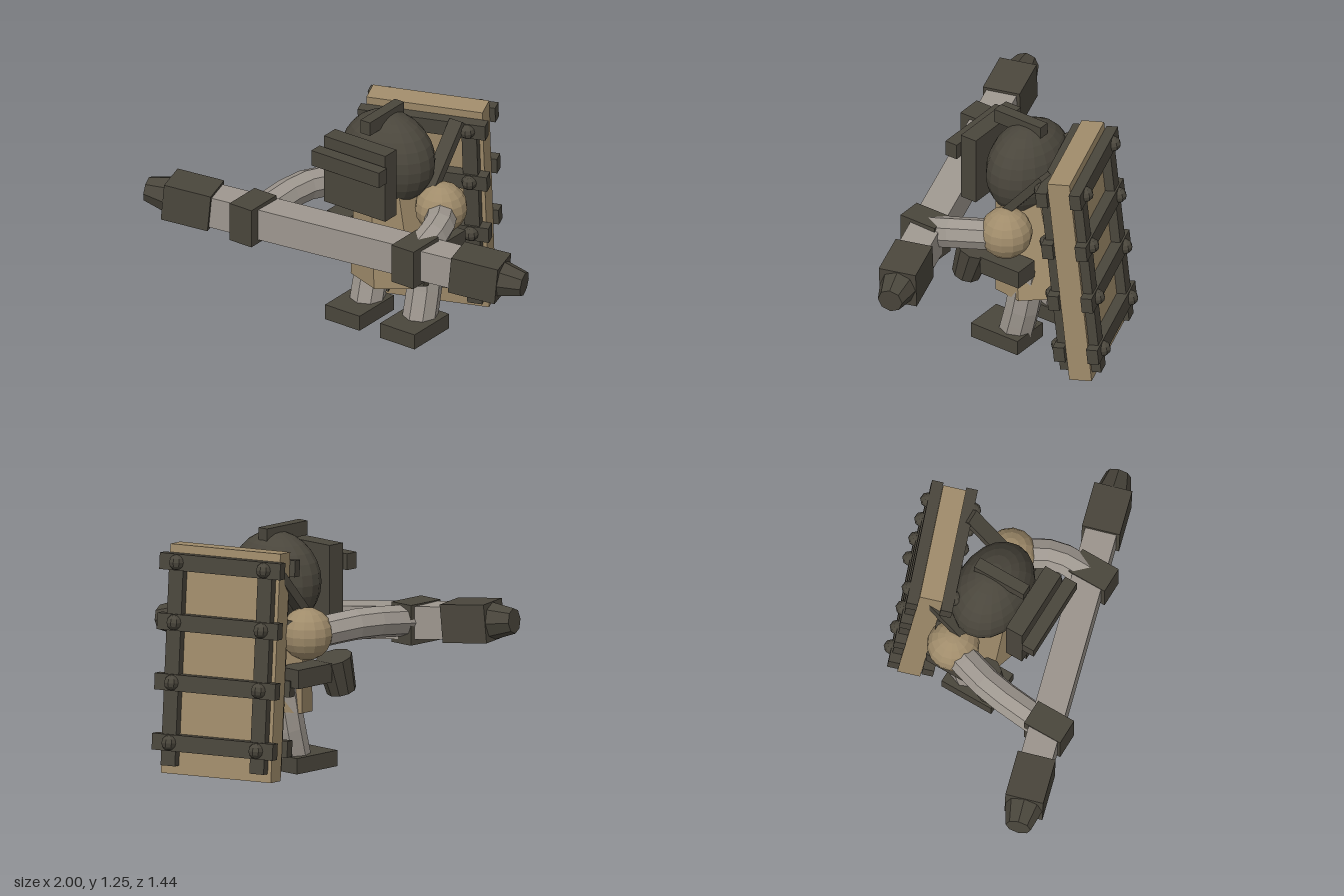
import * as THREE from 'three';

const mat = (name, color) => {
  const m = new THREE.MeshStandardMaterial({ color });
  m.name = name;
  return m;
};

export function createModel() {
  const tan = mat('tan', 0xa08c6b);
  const dark = mat('dark iron', 0x4a463c);
  const grey = mat('pale grey', 0x9e978f);
  const root = new THREE.Group();
  root.name = 'armouredFigure';

  // Flat-shaded mesh helper
  const add = (parent, name, geo, material, [x, y, z]) => {
    const g = geo.index ? geo.toNonIndexed() : geo;
    g.computeVertexNormals();
    const m = new THREE.Mesh(g, material);
    m.name = name;
    m.position.set(x, y, z);
    parent.add(m);
    return m;
  };
  const box = (parent, name, material, [w, h, d], pos) =>
    add(parent, name, new THREE.BoxGeometry(w, h, d), material, pos);
  const tube = (name, pts, radius) => {
    const curve = new THREE.CatmullRomCurve3(pts.map(p => new THREE.Vector3(...p)));
    return add(root, name, new THREE.TubeGeometry(curve, 5, radius, 8), grey, [0, 0, 0]);
  };

  // Hunched eight-sided torso
  const torsoGeo = new THREE.CylinderGeometry(0.19, 0.26, 0.52, 8);
  torsoGeo.rotateY(0.1);
  add(root, 'torso', torsoGeo, tan, [0, 0.585, -0.145]).rotation.x = 0.16;

  // Helmet with crest, face plate, brow and eye slit
  const head = add(root, 'helmet', new THREE.SphereGeometry(1, 20, 14), dark, [0, 0.98, -0.088]);
  head.scale.set(0.265, 0.25, 0.195);
  box(root, 'helmetCrest', dark, [0.06, 0.075, 0.295], [0, 1.22, -0.037]);
  box(root, 'facePlate', dark, [0.39, 0.375, 0.095], [0, 0.965, 0.153]);
  box(root, 'brow', dark, [0.43, 0.085, 0.07], [0, 1.053, 0.247]);
  box(root, 'eyeSlit', tan, [0.31, 0.033, 0.028], [0, 0.992, 0.214]);

  for (const s of [1, -1]) {
    const side = s > 0 ? 'left' : 'right';
    // Shoulder, leg and foot
    add(root, side + 'Shoulder', new THREE.SphereGeometry(0.136, 14, 10), tan, [s * 0.287, 0.745, -0.155]);
    tube(side + 'Leg', [[s * 0.14, 0.5, -0.2], [s * 0.165, 0.28, -0.18], [s * 0.168, 0.07, -0.13]], 0.092);
    box(root, side + 'Foot', dark, [0.22, 0.083, 0.295], [s * 0.175, 0.06, -0.077]);
    // Hip pouch with a tapered canister in front
    box(root, side + 'HipBox', dark, [0.14, 0.098, 0.245], [s * 0.28, 0.531, -0.157]);
    const can = add(root, side + 'Canister', new THREE.CylinderGeometry(0.096, 0.077, 0.19, 10), dark,
      [s * 0.297, 0.505, 0.06]);
    can.rotation.x = -0.3;
    // Strap from shoulder to back panel
    const strap = box(root, side + 'Strap', dark, [0.08, 0.4, 0.045], [s * 0.235, 0.98, -0.24]);
    strap.rotation.x = -0.7;
  }

  // Arms reaching forward, with fists around the shaft
  tube('leftArm', [[0.3, 0.73, -0.14], [0.4, 0.73, 0.03], [0.425, 0.67, 0.25]], 0.082);
  tube('rightArm', [[-0.3, 0.74, -0.14], [-0.39, 0.77, 0.12], [-0.425, 0.74, 0.48]], 0.082);
  box(root, 'leftFist', dark, [0.14, 0.21, 0.215], [0.425, 0.655, 0.255]);
  box(root, 'rightFist', dark, [0.14, 0.21, 0.215], [-0.425, 0.735, 0.5]);

  // Two-headed hammer staff held across the body
  const staff = new THREE.Group();
  staff.name = 'staff';
  staff.position.set(0, 0.7, 0.36);
  staff.rotation.set(0, 0.287, -0.091);
  root.add(staff);
  box(staff, 'staffShaft', grey, [1.5, 0.17, 0.165], [0, 0, 0]);
  for (const s of [1, -1]) {
    box(staff, 'staffCollar', dark, [0.255, 0.2, 0.2], [s * 0.785, 0, 0]);
    const tip = new THREE.CylinderGeometry(0.066, 0.1, 0.13, 8);
    tip.rotateZ(-s * Math.PI / 2);
    add(staff, 'staffTip', tip, dark, [s * 0.965, 0, 0]);
  }

  // Slanted back panel, framed and riveted on both faces
  const panel = new THREE.Group();
  panel.name = 'backPanel';
  panel.position.set(0, 0.597, -0.455);
  panel.rotation.set(0.1, 0.345, 0, 'YXZ');
  root.add(panel);
  box(panel, 'panelSlab', tan, [0.62, 1.18, 0.12], [0, 0, 0]);
  for (const f of [1, -1]) {
    for (const s of [1, -1]) {
      box(panel, 'panelUpright', dark, [0.08, 1.09, 0.05], [s * 0.25, 0, f * 0.085]);
    }
    for (let i = 0; i < 4; i++) {
      const y = 0.505 - i * 0.31;
      box(panel, 'panelCrossbar', dark, [0.68, 0.085, 0.06], [0, y, f * 0.09]);
      for (const s of [1, -1]) {
        add(panel, 'panelRivet', new THREE.SphereGeometry(0.04, 8, 6), dark, [s * 0.245, y, f * 0.12]);
      }
    }
  }
  return root;
}
